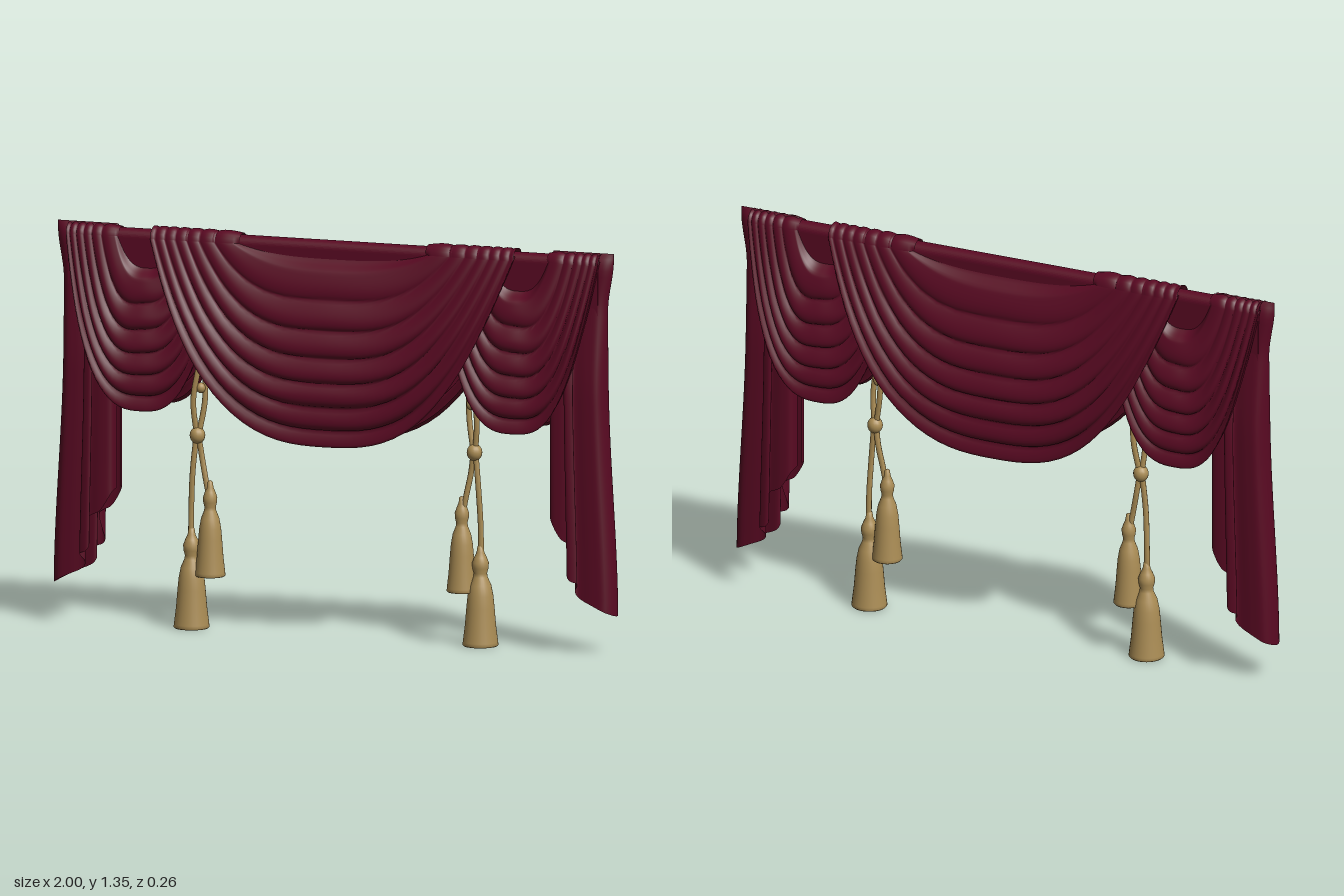
import * as THREE from 'three';

const TOP = 1.31; // height of the centre of the rounded top edge
const { lerp, smoothstep } = THREE.MathUtils;

// Surface through a grid of points; rows run outward/down, closed joins the columns into a ring
function loft(rows, cols, point, closed, flip) {
  const pos = [], index = [];
  for (let i = 0; i <= rows; i++)
    for (let j = 0; j < cols; j++) pos.push(...point(i, j));
  for (let i = 0; i < rows; i++)
    for (let j = 0; j < (closed ? cols : cols - 1); j++) {
      const a = i * cols + j, b = i * cols + (j + 1) % cols, c = a + cols, d = b + cols;
      if (flip) index.push(a, b, c, b, d, c);
      else index.push(a, c, b, b, c, d);
    }
  const g = new THREE.BufferGeometry();
  g.setAttribute('position', new THREE.Float32BufferAttribute(pos, 3));
  g.setIndex(index);
  g.computeVertexNormals();
  return g;
}

// Draped swag: nested hanging loops at front and back, joined by arches over the top
function swagGeometry(o) {
  const N = 48, ARCH = 7, half = N + 1 + ARCH, rows = 83;
  return loft(rows, half * 2, (i, j) => {
    const t = Math.min(i / (rows - 3), 1);
    const hem = Math.max(0, i - (rows - 3)) / 3; // hem turns inward
    const back = j >= half, k = j % half;
    const dir = back ? -1 : 1;
    const u = k > N ? dir : dir * Math.sin((k / N - 0.5) * Math.PI);
    // folds drift a little along their length so that they are not evenly spaced
    const drift = 0.9 * t * (1 - t) * Math.sin(2.6 * u + o.phase);
    const pleat = Math.pow(Math.abs(Math.sin(Math.PI * (o.folds * Math.pow(t, 1.35) + drift))), 0.7);
    const w = lerp(o.w0, o.w1, t);
    const r = o.r + 0.006 * pleat;
    if (k > N) { // arch over the top
      const a = Math.PI * (k - N) / (ARCH + 1);
      return [o.cx + dir * w, TOP + (r - 0.004) * Math.sin(a), dir * r * Math.cos(a)];
    }
    const drop = lerp(o.d0, o.d1, t) * (1 - Math.pow(Math.abs(u), o.power));
    const env = 1 - (u * o.cx < 0 ? o.innerFall : o.outerFall) * u * u;
    const f = Math.pow(Math.sin(Math.min(drop / 0.46, 1) * Math.PI / 2), 0.85);
    const low = Math.max(0, drop - 0.46) * 0.12;
    const full = r + (o.bulge * f - low + o.amp * pleat * Math.min(1, drop * 4) - hem * 0.03) * env;
    const z = lerp(0.027, full, smoothstep(t, -0.01, 0.07)); // inner edge lies on the heading
    const sag = 0.018 * pleat * Math.min(1, drop * 3);
    return [o.cx + w * u, TOP - drop - sag + hem * 0.012, dir * z];
  }, true, false);
}

// Side tail: pleated sheet wrapped round the end, with a stepped, slanting hem
function tailGeometry(side) {
  const front = [ // x, z, hem height
    [0.772, 0.015, 0.46], [0.778, 0.045, 0.45], [0.82, 0.055, 0.385], [0.862, 0.05, 0.36],
    [0.855, 0.064, 0.3], [0.85, 0.078, 0.265], [0.862, 0.082, 0.25], [0.885, 0.074, 0.24],
    [0.87, 0.055, 0.21], [0.88, 0.048, 0.19], [0.93, 0.052, 0.165], [0.975, 0.046, 0.143]];
  const path = [...front, [1.0, 0, 0.128], ...front.slice().reverse().map(([x, z, y]) => [x, -z, y])];
  const pts = new THREE.CatmullRomCurve3(path.map(p => new THREE.Vector3(...p)), false, 'centripetal').getPoints(140);
  const rows = 40;
  return loft(rows, pts.length, (i, j) => {
    const p = pts[j], v = i / rows;
    const y = lerp(1.347, p.z, v * v * 0.4 + v * 0.6);
    const spread = lerp(1, 0.46, smoothstep(y, 0.85, 1.3));
    const round = Math.sqrt(Math.min(1, (1.347 - y) / 0.05));
    const pinch = 0.035 * smoothstep(y, 0.1, 0.95) - 0.022 * smoothstep(y, 1.15, 1.33);
    return [side * (p.x - pinch * (p.x - 0.77) / 0.23), y, p.y * spread * round];
  }, false, side > 0);
}

// Heading: long folded strip behind the swags
function headingGeometry() {
  const s = new THREE.Shape();
  s.moveTo(0.03, 1.1);
  s.lineTo(0.03, 1.305);
  s.absarc(0, 1.305, 0.03, 0, Math.PI, false);
  s.lineTo(-0.03, 1.1);
  s.lineTo(-0.024, 1.1);
  s.lineTo(-0.024, 1.305);
  s.absarc(0, 1.305, 0.024, Math.PI, 0, true);
  s.lineTo(0.024, 1.1);
  s.closePath();
  const g = new THREE.ExtrudeGeometry(s, { depth: 1.88, bevelEnabled: false, curveSegments: 10 });
  g.translate(0, 0, -0.94);
  g.rotateY(Math.PI / 2);
  return g;
}

const tasselProfile = [ // radius, height
  [0, 0.035], [0.042, 0.03], [0.044, 0.002], [0.046, 0], [0.056, 0], [0.06, 0.004], [0.059, 0.014],
  [0.052, 0.07], [0.047, 0.13], [0.043, 0.17], [0.036, 0.205], [0.024, 0.232], [0.022, 0.245],
  [0.027, 0.262], [0.028, 0.28], [0.021, 0.298], [0.013, 0.315], [0.01, 0.335], [0, 0.34],
].map(p => new THREE.Vector2(...p));

export function createModel() {
  const model = new THREE.Group();
  model.name = 'swagCurtain';
  const cloth = new THREE.MeshStandardMaterial({ color: 0x590922, side: THREE.DoubleSide });
  cloth.name = 'burgundyCloth';
  const gold = new THREE.MeshStandardMaterial({ color: 0xab8d55 });
  gold.name = 'goldCord';

  const add = (parent, name, geometry, material) => {
    const m = new THREE.Mesh(geometry, material);
    m.name = name;
    parent.add(m);
    return m;
  };

  add(model, 'heading', headingGeometry(), cloth);
  add(model, 'centreSwag', swagGeometry({
    cx: 0, w0: 0.33, w1: 0.645, d0: 0.03, d1: 0.637, power: 2.8, folds: 6.5, phase: 1.57,
    r: 0.036, bulge: 0.074, amp: 0.016, innerFall: 0.3, outerFall: 0.3 }), cloth);

  for (const side of [-1, 1]) {
    const name = side > 0 ? 'left' : 'right';
    add(model, name + 'Swag', swagGeometry({
      cx: side * 0.66, w0: 0.1, w1: 0.285, d0: 0.1, d1: 0.557, power: 2.9, folds: 5.5, phase: side * 0.4 + 1.57,
      r: 0.033, bulge: 0.052, amp: 0.015, innerFall: 0.7, outerFall: 0.35 }), cloth);
    add(model, name + 'Tail', tailGeometry(side), cloth);

    // Pair of tassels on knotted cords
    const tie = new THREE.Group();
    tie.name = name + 'Tassels';
    model.add(tie);
    const cord = (label, pts) => add(tie, label, new THREE.TubeGeometry(
      new THREE.CatmullRomCurve3(pts.map(([x, y, z]) => new THREE.Vector3(side * x, y, z))), 24, 0.01, 8), gold);
    cord('outerLoop', [[0.475, 1.0, 0], [0.482, 0.9, 0.008], [0.503, 0.77, 0.01], [0.495, 0.65, 0]]);
    cord('innerLoop', [[0.472, 1.0, 0], [0.47, 0.9, -0.008], [0.469, 0.77, -0.01], [0.488, 0.65, 0]]);
    cord('longCord', [[0.496, 0.65, 0], [0.508, 0.52, 0.004], [0.514, 0.4, 0], [0.515, 0.31, 0]]);
    cord('shortCord', [[0.488, 0.65, 0], [0.478, 0.58, -0.004], [0.462, 0.5, 0], [0.45, 0.44, 0]]);
    for (const [label, x, y, r] of [['upperKnot', 0.48, 0.81, 0.016], ['knot', 0.492, 0.65, 0.026]]) {
      const k = add(tie, label, new THREE.SphereGeometry(r, 16, 12), gold);
      k.position.set(side * x, y, 0);
      k.scale.y = 1.1;
    }
    for (const [label, x, y, sr, sy] of [['longTassel', 0.513, 0, 1, 1], ['shortTassel', 0.447, 0.178, 0.85, 0.95]]) {
      const t = add(tie, label, new THREE.LatheGeometry(tasselProfile, 28), gold);
      t.position.set(side * x, y, 0);
      t.scale.set(sr, sy, sr);
    }
  }
  return model;
}
